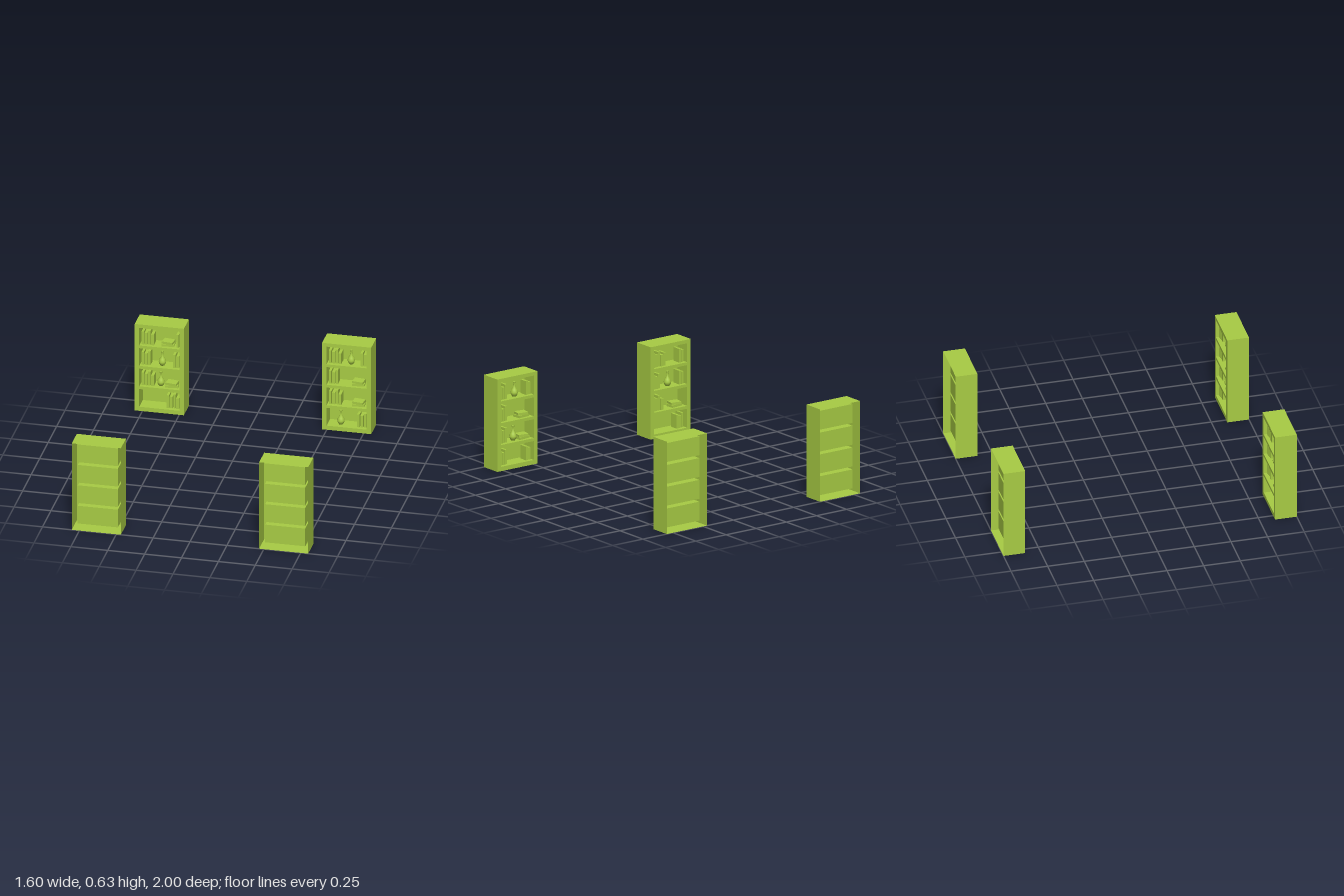
import * as THREE from 'three';

const W = 0.333, H = 0.635, D = 0.148;      // bookcase
const CW = 0.272, CH = 0.13, CD = 0.105;    // compartment
const FRONT = D / 2;
const mat = new THREE.MeshStandardMaterial({ color: 0xa8cc44, side: THREE.DoubleSide });

function add(parent, name, geometry, x = 0, y = 0, z = 0) {
  const mesh = new THREE.Mesh(geometry, mat);
  mesh.name = name;
  mesh.position.set(x, y, z);
  parent.add(mesh);
  return mesh;
}

// Thin-walled box without a front; the rear wall is optional
function openBox(w, h, d, withBack) {
  const geometry = new THREE.BoxGeometry(w, h, d);
  const index = Array.from(geometry.index.array);
  geometry.setIndex(withBack ? [...index.slice(0, 24), ...index.slice(30)] : index.slice(0, 24));
  geometry.clearGroups();
  return geometry;
}

function rectangle(Type, x, y, w, h) {
  const r = new Type();
  r.moveTo(x, y);
  r.lineTo(x + w, y);
  r.lineTo(x + w, y + h);
  r.lineTo(x, y + h);
  r.closePath();
  return r;
}

// Upright books of varied height, starting at x
function books(parent, x, count) {
  const heights = [0.094, 0.084, 0.1, 0.078, 0.09];
  for (let i = 0; i < count; i++) {
    const h = heights[i % heights.length], t = 0.016 + 0.003 * (i % 2);
    add(parent, 'book', new THREE.BoxGeometry(t, h, 0.062), x + i * 0.022, h / 2, 0.02 - 0.003 * (i % 3));
  }
}

// Books lying flat on each other
function stack(parent, x) {
  [[0.085, 0.1], [0.075, -0.15]].forEach(([w, turn], i) => {
    add(parent, 'flatBook', new THREE.BoxGeometry(w, 0.016, 0.06), x, 0.008 + i * 0.016, 0.02).rotation.y = turn;
  });
}

// Round-bellied vase with a slim neck
const vaseProfile = [[0, 0], [0.014, 0], [0.023, 0.016], [0.025, 0.028], [0.019, 0.046],
  [0.008, 0.064], [0.006, 0.085], [0.01, 0.1]].map(p => new THREE.Vector2(...p));
function vase(parent, x) {
  add(parent, 'vase', new THREE.LatheGeometry(vaseProfile, 16), x, 0, 0.025);
}

// Contents of a shelf: [books on the left, vase x, stack x, books on the right]
function fillShelf(parent, [left, vaseX, stackX, right]) {
  books(parent, -0.118, left);
  if (vaseX !== null) vase(parent, vaseX);
  if (stackX !== null) stack(parent, stackX);
  books(parent, 0.118 - 0.022 * (right - 1), right);
}

function bookcase(shelves) {
  const group = new THREE.Group();
  group.name = 'bookcase';

  // Outer shell, hollow at the rear
  add(group, 'shell', openBox(W, H, D, false), 0, H / 2, 0);

  // Face frame with one opening per compartment
  const face = rectangle(THREE.Shape, -W / 2, 0, W, H);
  shelves.forEach((content, i) => {
    const y = 0.03 + 0.15 * (3 - i);
    face.holes.push(rectangle(THREE.Path, -CW / 2, y, CW, CH));
    add(group, 'compartment', openBox(CW, CH, CD, true), 0, y + CH / 2, FRONT - CD / 2);
    const shelf = new THREE.Group();
    shelf.name = 'shelfContents';
    shelf.position.y = y;
    fillShelf(shelf, content);
    group.add(shelf);
  });
  add(group, 'faceFrame', new THREE.ShapeGeometry(face), 0, 0, FRONT);
  return group;
}

export function createModel() {
  const model = new THREE.Group();
  model.name = 'bookcases';
  // Two facing pairs; shelves are listed from top to bottom
  const cases = [
    [-1, -1, [[4, null, 0.05, 1], [3, 0.01, null, 2], [4, 0, 0.075, 0], [0, null, null, 4]]],
    [1, -1, [[4, 0.02, null, 2], [3, null, 0.07, 0], [4, null, 0.07, 0], [0, -0.05, null, 3]]],
    [1, 1, [[3, 0.01, null, 2], [3, null, 0.07, 0], [3, 0, 0.075, 0], [3, null, null, 2]]],
    [-1, 1, [[5, null, null, 2], [3, 0.01, null, 2], [4, null, 0.07, 0], [0, null, null, 3]]],
  ];
  for (const [sx, sz, shelves] of cases) {
    const unit = bookcase(shelves);
    unit.position.set(sx * 0.635, 0, sz * (1 - D / 2));
    unit.rotation.y = sz > 0 ? Math.PI : 0;
    model.add(unit);
  }
  return model;
}
